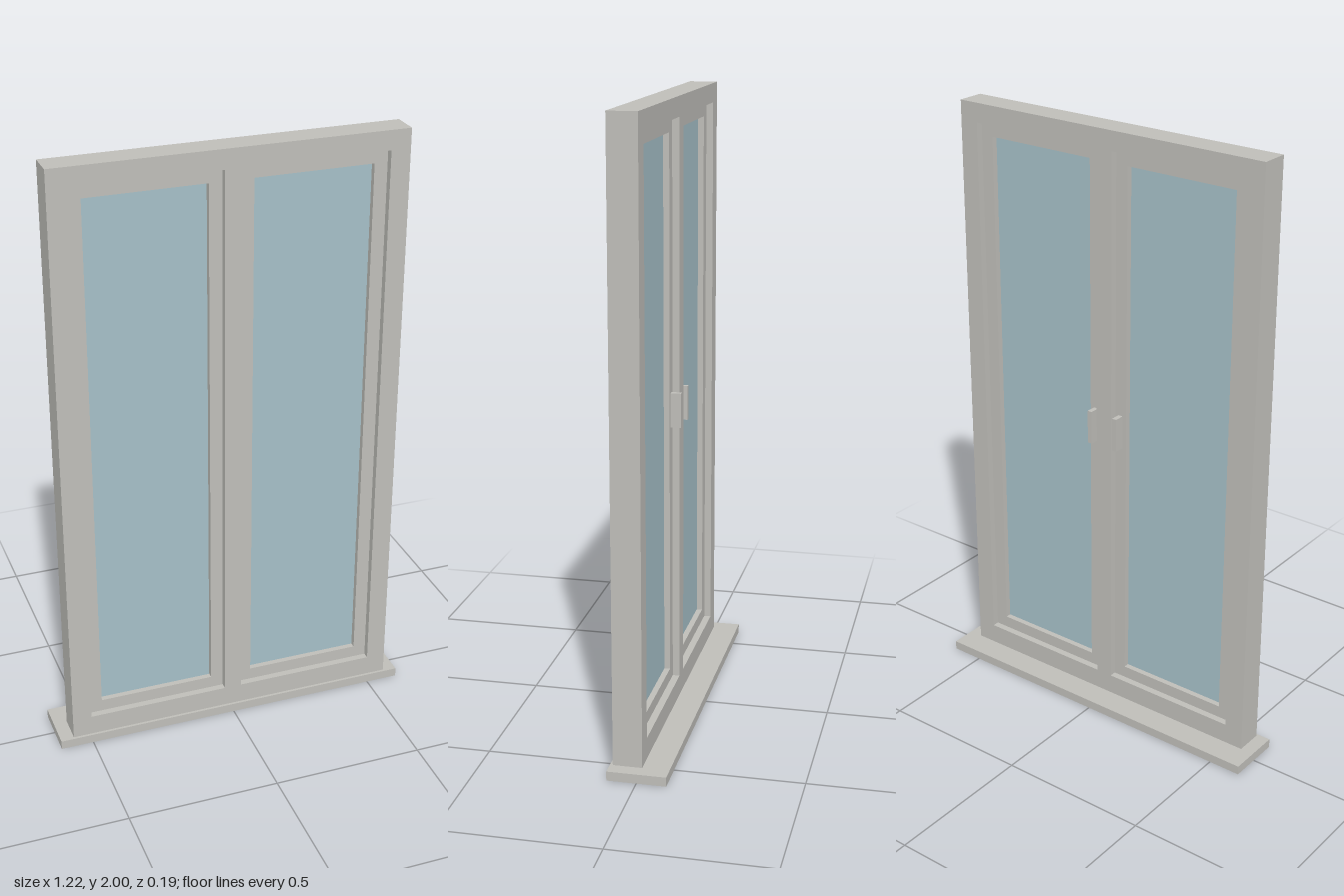
import * as THREE from 'three';

// Rectangular ring: outer bounds [x0, y0, x1, y1], holes with the same layout, between two depths
function frameGeometry(outer, holes, z0, z1) {
  const trace = (path, [x0, y0, x1, y1]) => {
    path.moveTo(x0, y0);
    path.lineTo(x1, y0);
    path.lineTo(x1, y1);
    path.lineTo(x0, y1);
    path.closePath();
    return path;
  };
  const shape = trace(new THREE.Shape(), outer);
  shape.holes = holes.map((h) => trace(new THREE.Path(), h));
  return new THREE.ExtrudeGeometry(shape, { depth: z1 - z0, bevelEnabled: false }).translate(0, 0, z0);
}

function boxGeometry([x0, y0, x1, y1], z0, z1) {
  return new THREE.BoxGeometry(x1 - x0, y1 - y0, z1 - z0)
    .translate((x0 + x1) / 2, (y0 + y1) / 2, (z0 + z1) / 2);
}

export function createModel() {
  const group = new THREE.Group();
  const frameMaterial = new THREE.MeshStandardMaterial({ name: 'warm grey frame', color: 0xbfbeb9 });
  const glassMaterial = new THREE.MeshStandardMaterial({ name: 'pale blue glass', color: 0xa6c0c8 });

  const add = (name, geometry, material, parent = group) => {
    const mesh = new THREE.Mesh(geometry, material);
    mesh.name = name;
    parent.add(mesh);
  };
  const mirror = ([x0, y0, x1, y1], side) => (side > 0 ? [x0, y0, x1, y1] : [-x1, y0, -x0, y1]);

  const opening = [0.029, 0.098, 0.5, 1.937];
  const pane = [0.071, 0.139, 0.457, 1.894];
  const handle = [0.041, 0.963, 0.057, 1.075];

  // Sill and fixed outer frame with its centre post
  add('sill', boxGeometry([-0.609, 0, 0.609, 0.03], -0.093, 0.093), frameMaterial);
  add('outerFrame', frameGeometry([-0.564, 0.03, 0.564, 2], [mirror(opening, -1), opening], -0.008, 0.084), frameMaterial);

  // Two recessed sashes, each with a pane and a handle on the back
  for (const side of [-1, 1]) {
    const sash = new THREE.Group();
    sash.name = side > 0 ? 'leftSash' : 'rightSash';
    add('sashFrame', frameGeometry(mirror(opening, side), [mirror(pane, side)], 0.015, 0.061), frameMaterial, sash);
    add('glassPane', boxGeometry(mirror(pane, side), 0.034, 0.042), glassMaterial, sash);
    add('handle', boxGeometry(mirror(handle, side), -0.019, 0.015), frameMaterial, sash);
    group.add(sash);
  }
  return group;
}
